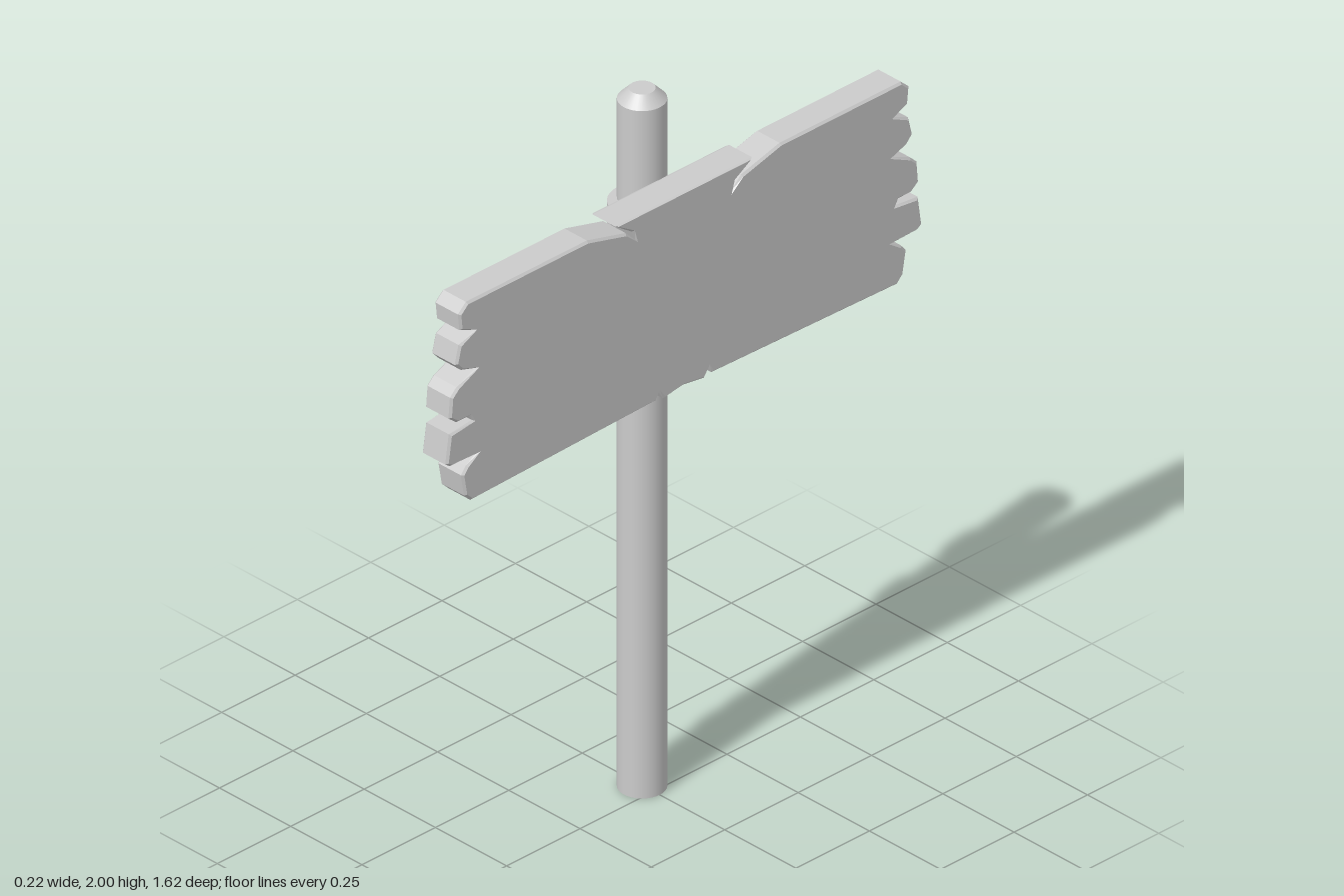
import * as THREE from 'three';

const material = new THREE.MeshStandardMaterial({ color: 0xcccccc });

function addMesh(group, name, geometry, x = 0, y = 0, z = 0) {
  const mesh = new THREE.Mesh(geometry, material);
  mesh.name = name;
  mesh.position.set(x, y, z);
  group.add(mesh);
  return mesh;
}

// Half of the weathered outline as [z, y], from top centre to bottom centre
const HALF_OUTLINE = [
  // split in the top edge
  [0.233, 1.765], [0.175, 1.725], [0.164, 1.698], [0.196, 1.73], [0.328, 1.765],
  // five ragged plank ends
  [0.74, 1.765], [0.767, 1.74], [0.762, 1.693], [0.714, 1.674],
  [0.765, 1.652], [0.778, 1.6], [0.757, 1.577], [0.708, 1.562],
  [0.772, 1.534], [0.794, 1.513], [0.799, 1.455], [0.773, 1.434], [0.73, 1.434], [0.72, 1.418],
  [0.798, 1.41], [0.81, 1.328], [0.794, 1.317], [0.704, 1.317],
  [0.74, 1.296], [0.757, 1.275], [0.746, 1.212], [0.725, 1.191],
  // nick in the bottom edge
  [0.095, 1.207], [0.085, 1.228], [0.069, 1.202], [0, 1.212],
];

function boardGeometry() {
  const mirrored = HALF_OUTLINE.slice(0, -1).reverse().map(([z, y]) => [-z, y]);
  const points = [...HALF_OUTLINE, ...mirrored].map(([z, y]) => new THREE.Vector2(z, y));
  const chamfer = 0.006;
  const geometry = new THREE.ExtrudeGeometry(new THREE.Shape(points), {
    depth: 0.09 - 2 * chamfer,
    bevelEnabled: true,
    bevelThickness: chamfer,
    bevelSize: chamfer,
    bevelOffset: -chamfer,
    bevelSegments: 1,
  });
  // Turn the board so that its faces look along x
  geometry.translate(0, 0, chamfer);
  geometry.rotateY(-Math.PI / 2);
  return geometry;
}

export function createModel() {
  const model = new THREE.Group();
  model.name = 'signpost';

  // Round post with a chamfered top
  const postX = -0.04;
  addMesh(model, 'post', new THREE.CylinderGeometry(0.062, 0.062, 1.97, 32), postX, 0.985, 0);
  addMesh(model, 'postTop', new THREE.CylinderGeometry(0.033, 0.062, 0.03, 32), postX, 1.985, 0);

  // Bands that hold the board to the post
  for (const [name, y] of [['lowerBand', 1.332], ['upperBand', 1.654]]) {
    addMesh(model, name, new THREE.CylinderGeometry(0.088, 0.088, 0.066, 32), -0.027, y, 0.01);
  }

  // Weathered board
  addMesh(model, 'board', boardGeometry(), 0.11, 0, 0);

  return model;
}
